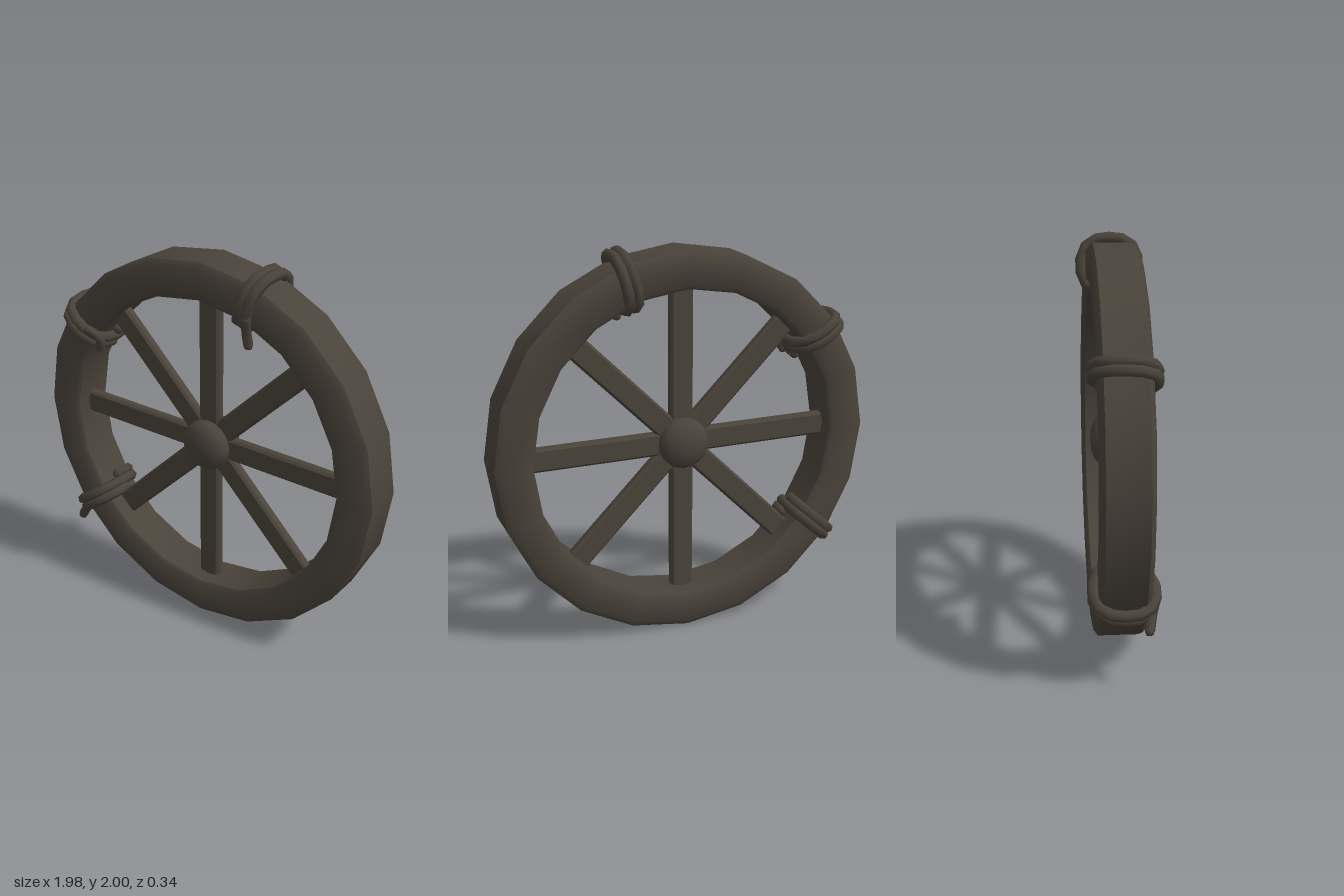
import * as THREE from 'three';
import { toCreasedNormals } from 'three/addons/utils/BufferGeometryUtils.js';

const wood = new THREE.MeshStandardMaterial({ color: 0x4a433a });
wood.name = 'darkWood';

function addMesh(parent, name, geometry) {
  const mesh = new THREE.Mesh(geometry, wood);
  mesh.name = name;
  parent.add(mesh);
  return mesh;
}

// Turned solid around the z axis, from [radius, z] points
function turned(points, segments, crease) {
  const g = new THREE.LatheGeometry(points.map(([r, z]) => new THREE.Vector2(r, z)), segments);
  return toCreasedNormals(g.rotateX(Math.PI / 2), crease);
}

// Spoke bar: chamfered rectangle stretched along x
function spokeGeometry(length, width, depth, c) {
  const w = width / 2, d = depth / 2;
  const shape = new THREE.Shape([
    [w - c, -d], [w, -d + c], [w, d - c], [w - c, d],
    [-w + c, d], [-w, d - c], [-w, -d + c], [-w + c, -d],
  ].map(([x, y]) => new THREE.Vector2(x, y)));
  const g = new THREE.ExtrudeGeometry(shape, { depth: length, bevelEnabled: false });
  return g.translate(0, 0, -length / 2).rotateZ(Math.PI / 2).rotateY(Math.PI / 2)
    .rotateX(Math.PI / 2);
}

// Two turns of rope around the rim section; local x is radial, y runs along the rim
class Wrap extends THREE.Curve {
  getPoint(t, target = new THREE.Vector3()) {
    const a = t * Math.PI * 4 + Math.PI;
    const bulge = (v) => Math.sign(v) * Math.abs(v) ** 0.8;
    return target.set(0.135 * bulge(Math.cos(a)), (t - 0.5) * 0.085, 0.145 * bulge(Math.sin(a)));
  }
}

// Rope with rounded ends
function addRope(parent, name, curve, segments, radius) {
  addMesh(parent, name, new THREE.TubeGeometry(curve, segments, radius, 6));
  for (const t of [0, 1]) {
    const end = addMesh(parent, name + 'End', new THREE.SphereGeometry(radius, 6, 4));
    end.position.copy(curve.getPoint(t));
  }
}

export function createModel() {
  const model = new THREE.Group();
  model.name = 'wheel';
  const wheel = new THREE.Group();
  wheel.name = 'wheelBody';
  wheel.position.y = 1;
  model.add(wheel);

  // Rim with chamfered edges
  addMesh(wheel, 'rim', turned([
    [0.99, -0.1], [0.99, 0.1], [0.96, 0.122], [0.82, 0.122], [0.8, 0.105],
    [0.8, -0.105], [0.82, -0.122], [0.96, -0.122], [0.99, -0.1],
  ], 20, 0.8));

  // Hub with a shallow dome on each side
  const dome = [[0.13, 0.055], [0.118, 0.08], [0.092, 0.1], [0.05, 0.113], [0, 0.118]];
  addMesh(wheel, 'hub', turned([
    ...dome.map(([r, z]) => [r, -z]).reverse(), ...dome,
  ], 20, 0.6));

  // Four bars through the hub make eight spokes
  const bar = spokeGeometry(1.6, 0.055, 0.12, 0.012);
  for (let i = 0; i < 4; i++) {
    addMesh(wheel, 'spokePair', bar).rotation.z = i * Math.PI / 4;
  }

  // Rope bindings, each with a hanging loose end
  const bindings = [
    { at: [0.295, 0.845], turn: 74, tail: [[0.3, 0.79], [0.29, 0.72], [0.292, 0.65]] },
    { at: [-0.73, 0.5], turn: 149, tail: [[-0.67, 0.49], [-0.61, 0.45], [-0.625, 0.395]] },
    { at: [-0.72, -0.53], turn: 219, tail: [[-0.72, -0.57], [-0.77, -0.62], [-0.815, -0.685]] },
  ];
  for (const { at, turn, tail } of bindings) {
    const wrap = new THREE.Group();
    wrap.name = 'ropeBinding';
    wrap.position.set(at[0], at[1], 0);
    wrap.rotation.z = THREE.MathUtils.degToRad(turn);
    wheel.add(wrap);
    addRope(wrap, 'ropeWrap', new Wrap(), 28, 0.029);

    const path = tail.map(([x, y], i) => new THREE.Vector3(x, y, [0.145, 0.125, 0.11][i]));
    addRope(wheel, 'ropeTail', new THREE.CatmullRomCurve3(path), 5, 0.025);
  }
  return model;
}
